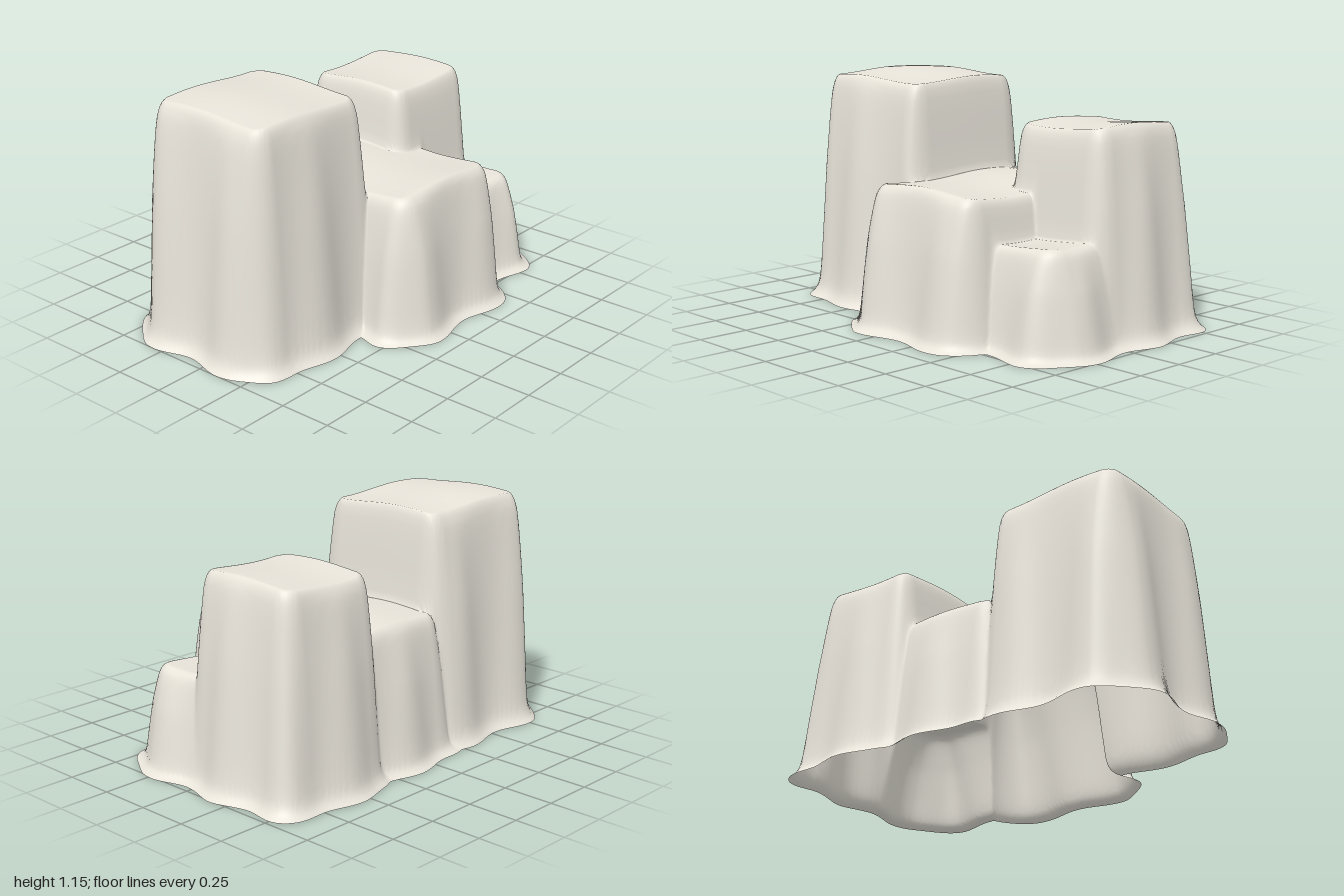
import * as THREE from 'three';

// Blocks hidden under the cloth: top rectangle, height, and
// steepness of the inner sides that rise from a neighbouring block
const BLOCKS = [
  { x0: -0.81, x1: -0.19, z0: -0.385, z1: 0.21, h: 1.13, right: 0.6 },
  { x0: -0.15, x1: 0.455, z0: -0.43, z1: 0.47, h: 0.672, right: 0.7 },
  { x0: 0.35, x1: 0.815, z0: -0.46, z1: 0.04, h: 0.965, left: 0.75, front: 0.8 },
  { x0: 0.40, x1: 0.822, z0: -0.20, z1: 0.34, h: 0.475 },
];
const CORNER = 0.05;

// Hanging profile: [distance outside the block top, fraction of its height]
const PROFILE = [[0, 1], [0.012, 0.99], [0.024, 0.97], [0.036, 0.935], [0.046, 0.875], [0.058, 0.78],
  [0.078, 0.6], [0.104, 0.28], [0.114, 0.15], [0.122, 0.08], [0.132, 0.045], [0.147, 0.02], [0.17, 0]];

function profile(d) {
  if (d <= 0) return 1;
  for (let i = 1; i < PROFILE.length; i++) {
    const [a, ya] = PROFILE[i - 1], [b, yb] = PROFILE[i];
    if (d <= b) return ya + (yb - ya) * (d - a) / (b - a);
  }
  return 0.17 - d;
}

const wave = (t, peak, period) => Math.cos((t - peak) / period * Math.PI * 2);

// Height of the cloth over one block
function drape(b, x, z) {
  let dx = x - THREE.MathUtils.clamp(x, b.x0 + CORNER, b.x1 - CORNER);
  let dz = z - THREE.MathUtils.clamp(z, b.z0 + CORNER, b.z1 - CORNER);
  // Inner sides are steeper and hang without folds
  const steepX = dx > 0 ? b.right : b.left;
  const steepZ = dz > 0 ? b.front : undefined;
  const tighten = (d, s) => Math.sign(d) * (Math.min(Math.abs(d), CORNER) + Math.max(0, Math.abs(d) - CORNER) / s);
  if (steepX) dx = tighten(dx, steepX);
  if (steepZ) dz = tighten(dz, steepZ);
  const len = Math.hypot(dx, dz);
  let d = Math.max(0, len - CORNER);
  if (d > 0) {
    // Folds run down each outer side and deepen towards the hem
    const side = steepX ? 0 : dx > 0 ? wave(z, -0.17, 0.4) : wave(z, 0.1, 0.4);
    const face = steepZ ? 0 : dz > 0 ? wave(x, 0.36, 0.45) : wave(x, 0.12, 0.43);
    const fold = (dx * dx * side + dz * dz * face) / (len * len);
    d -= 0.022 * fold * THREE.MathUtils.smoothstep(d, 0, 0.12);
  }
  const sag = 0.01 * wave(z, -0.17, 0.75) + 0.01 * wave(x, -0.62, 0.75);
  return (b.h + sag) * profile(d);
}

// Smooth maximum keeps the inner creases soft
function smoothMax(a, b, k) {
  const t = Math.max(k - Math.abs(a - b), 0) / k;
  return Math.max(a, b) + t * t * k * 0.25;
}

function clothHeight(x, z) {
  let y = -10;
  for (const b of BLOCKS) {
    const top = drape(b, x, z);
    // Fillets fade out at the hem
    const k = 0.01 + 0.1 * THREE.MathUtils.smoothstep(Math.max(y, top), 0, 0.3);
    y = smoothMax(y, top, k);
  }
  return y;
}

function clothGeometry() {
  const step = 0.008, nx = 264, nz = 174;
  const pos = [], above = [];
  for (let j = 0; j <= nz; j++) {
    for (let i = 0; i <= nx; i++) {
      let x = (i - nx / 2) * step, z = (j - nz / 2) * step;
      let y = clothHeight(x, z);
      above.push(y > 0);
      // Pull points just outside the hem back onto it
      for (let n = 0; n < 3 && y < 0 && y > -0.05; n++) {
        const e = 0.002;
        const gx = (clothHeight(x + e, z) - clothHeight(x - e, z)) / (2 * e);
        const gz = (clothHeight(x, z + e) - clothHeight(x, z - e)) / (2 * e);
        const g = gx * gx + gz * gz;
        if (g < 0.01) break;
        const s = Math.min(-y / g, step / Math.sqrt(g));
        x += gx * s;
        z += gz * s;
        y = clothHeight(x, z);
      }
      pos.push(x, Math.max(0, y), z);
    }
  }
  // Keep only triangles inside the hem, and only the points they use
  const used = new Map(), kept = [], index = [];
  const tri = (...corners) => {
    if (!corners.some((v) => above[v])) return;
    for (const v of corners) {
      if (!used.has(v)) {
        used.set(v, used.size);
        kept.push(pos[v * 3], pos[v * 3 + 1], pos[v * 3 + 2]);
      }
      index.push(used.get(v));
    }
  };
  for (let j = 0; j < nz; j++) {
    for (let i = 0; i < nx; i++) {
      const a = j * (nx + 1) + i, b = a + 1, c = a + nx + 1, d = c + 1;
      tri(a, c, b);
      tri(b, c, d);
    }
  }
  const geo = new THREE.BufferGeometry();
  geo.setAttribute('position', new THREE.Float32BufferAttribute(kept, 3));
  geo.setIndex(index);
  geo.computeVertexNormals();
  return geo;
}

export function createModel() {
  const group = new THREE.Group();
  group.name = 'drapedBlocks';
  const material = new THREE.MeshStandardMaterial({ color: 0xe8e4da, side: THREE.DoubleSide });
  const cloth = new THREE.Mesh(clothGeometry(), material);
  cloth.name = 'drapedCloth';
  group.add(cloth);
  return group;
}
